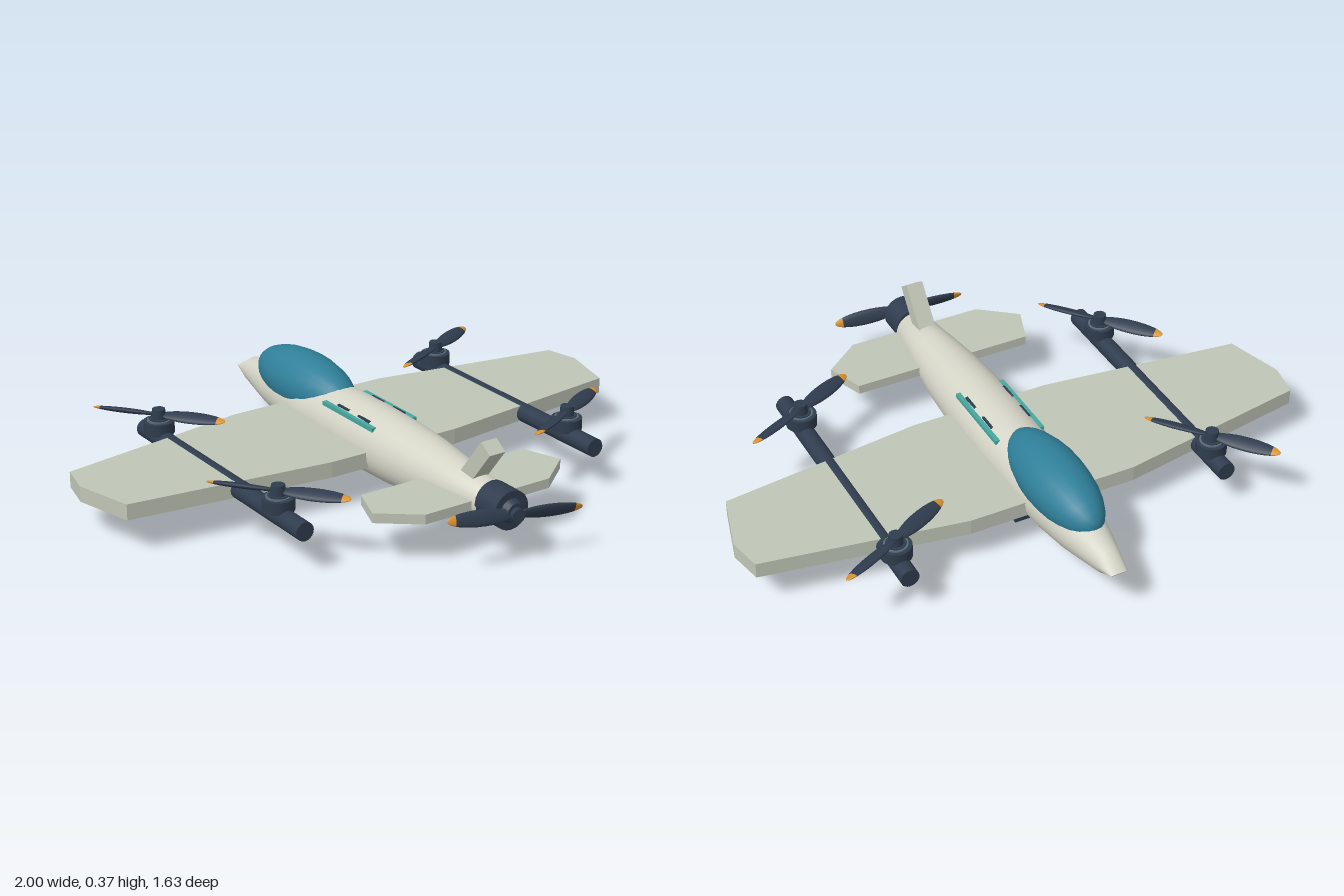
import * as THREE from 'three';
import { mergeVertices } from 'three/addons/utils/BufferGeometryUtils.js';

const mat = (name, color, side = THREE.FrontSide) => {
  const m = new THREE.MeshStandardMaterial({ color, side });
  m.name = name;
  return m;
};

export function createModel() {
  const body = mat('body cream', 0xd3d3c6);
  const wingMat = mat('wing sage', 0xbfc5b6);
  const dark = mat('dark slate', 0x2f3c4e);
  const steel = mat('steel grey', 0x5c6b7a);
  const glass = mat('canopy blue', 0x2f7f99);
  const teal = mat('accent teal', 0x45a8a0);
  const orange = mat('tip orange', 0xd8922f);

  const root = new THREE.Group();
  root.name = 'aircraft';
  const add = (parent, name, geo, material, x = 0, y = 0, z = 0) => {
    const mesh = new THREE.Mesh(geo, material);
    mesh.name = name;
    mesh.position.set(x, y, z);
    parent.add(mesh);
    return mesh;
  };
  const box = (w, h, d) => new THREE.BoxGeometry(w, h, d);
  const cyl = (rTop, rBottom, h) => new THREE.CylinderGeometry(rTop, rBottom, h, 20);
  const cylZ = (rFront, rBack, h) => cyl(rFront, rBack, h).rotateX(Math.PI / 2);

  // Fuselage: turned profile along z, nose pinched to a flat wedge
  const profile = [
    [0, -0.82], [0.03, -0.82], [0.045, -0.755], [0.066, -0.66], [0.083, -0.58],
    [0.1, -0.45], [0.11, -0.3], [0.115, -0.12], [0.116, 0.02], [0.112, 0.17],
    [0.103, 0.32], [0.085, 0.48], [0.064, 0.65], [0, 0.65],
  ].map(([r, z]) => new THREE.Vector2(r, z));
  let hull = new THREE.LatheGeometry(profile, 28).rotateX(Math.PI / 2);
  const p = hull.attributes.position;
  for (let i = 0; i < p.count; i++) {
    if (p.getZ(i) < -0.8) p.setY(i, p.getY(i) * 0.06);
  }
  hull.deleteAttribute('normal');
  hull.deleteAttribute('uv');
  hull = mergeVertices(hull, 1e-5);
  hull.computeVertexNormals();
  add(root, 'fuselage', hull, body, 0, 0.165, 0);

  // Canopy
  const bubble = new THREE.SphereGeometry(1, 20, 14).rotateX(Math.PI / 2).scale(0.106, 0.106, 0.268);
  add(root, 'canopy', bubble, glass, 0, 0.23, -0.405);

  // Flat surfaces from a half outline of [x, z], mirrored
  const slab = (name, half, y0, y1) => {
    const pts = [...half, ...half.map(([x, z]) => [-x, z]).reverse()];
    const shape = new THREE.Shape(pts.map(([x, z]) => new THREE.Vector2(x, -z)));
    const geo = new THREE.ExtrudeGeometry(shape, { depth: y1 - y0, bevelEnabled: false });
    add(root, name, geo.rotateX(-Math.PI / 2), wingMat, 0, y0, 0);
  };
  slab('wing', [[0.295, -0.4], [0.975, -0.283], [1, -0.165], [0.945, 0.04], [0.245, 0.125]], 0.12, 0.174);
  slab('tailplane', [[0.32, 0.4], [0.367, 0.53], [0.24, 0.63]], 0.147, 0.18);

  // Raked tail fin
  const finShape = new THREE.Shape(
    [[-0.67, 0.336], [-0.545, 0.175], [-0.5, 0.206], [-0.625, 0.367]].map(([x, y]) => new THREE.Vector2(x, y)));
  const fin = new THREE.ExtrudeGeometry(finShape, { depth: 0.06, bevelEnabled: false });
  add(root, 'tailFin', fin.translate(0, 0, -0.03).rotateY(Math.PI / 2), wingMat);

  // Two-blade propeller spinning about y
  const tipAngle = 0.72;
  const bladePart = (start, length) => new THREE.SphereGeometry(1, 14, 10, 0, Math.PI * 2, start, length)
    .rotateZ(-Math.PI / 2).scale(0.116, 0.009, 0.027).rotateX(0.38).translate(0.119, 0, 0);
  const bladeGeo = bladePart(tipAngle, Math.PI - tipAngle);
  const tipGeo = bladePart(0, tipAngle);
  const propeller = (name) => {
    const g = new THREE.Group();
    g.name = name;
    for (const turn of [0, Math.PI]) {
      add(g, 'blade', bladeGeo, dark).rotation.y = turn;
      add(g, 'bladeTip', tipGeo, orange).rotation.y = turn;
    }
    add(g, 'hub', cyl(0.022, 0.025, 0.04), dark);
    root.add(g);
    return g;
  };

  // Booms with lift motors and propellers
  for (const side of [-1, 1]) {
    const x = side * 0.568;
    add(root, 'boom', cylZ(0.0315, 0.0315, 0.995), dark, x, 0.1465, -0.0325);
    for (const z of [-0.43, 0.315]) {
      add(root, 'liftMotor', cyl(0.052, 0.052, 0.042), dark, x, 0.186, z);
      add(root, 'motorRing', cyl(0.04, 0.04, 0.006), steel, x, 0.209, z);
      add(root, 'motorCap', cyl(0.034, 0.034, 0.01), dark, x, 0.21, z);
      const prop = propeller('liftPropeller');
      prop.position.set(x, 0.228, z);
      prop.rotation.y = side > 0 ? 0.46 : -0.896;
    }
  }

  // Pusher motor and propeller
  add(root, 'pusherMotor', cylZ(0.065, 0.065, 0.1), dark, 0, 0.175, 0.695);
  add(root, 'pusherShaft', cylZ(0.032, 0.042, 0.025), dark, 0, 0.175, 0.755);
  const pusher = propeller('pusherPropeller');
  pusher.position.set(0, 0.172, 0.767);
  pusher.rotation.set(Math.PI / 2, -0.17, -0.08, 'ZYX');

  // Side light strips and vent slots
  for (const side of [-1, 1]) {
    add(root, 'lightStrip', box(0.016, 0.014, 0.29), teal, side * 0.081, 0.246, -0.022);
    for (const z of [-0.06, 0.06]) {
      add(root, 'ventSlot', box(0.008, 0.008, 0.065), dark, side * 0.069, 0.256, z - 0.01);
    }
  }

  // Belly camera looking toward the nose
  add(root, 'cameraHousing', box(0.16, 0.08, 0.088), dark, 0, 0.04, -0.246);
  add(root, 'lensBarrel', cylZ(0.03, 0.026, 0.03), steel, 0, 0.038, -0.3);
  add(root, 'lens', cylZ(0.019, 0.019, 0.006), glass, 0, 0.038, -0.315);

  return root;
}
